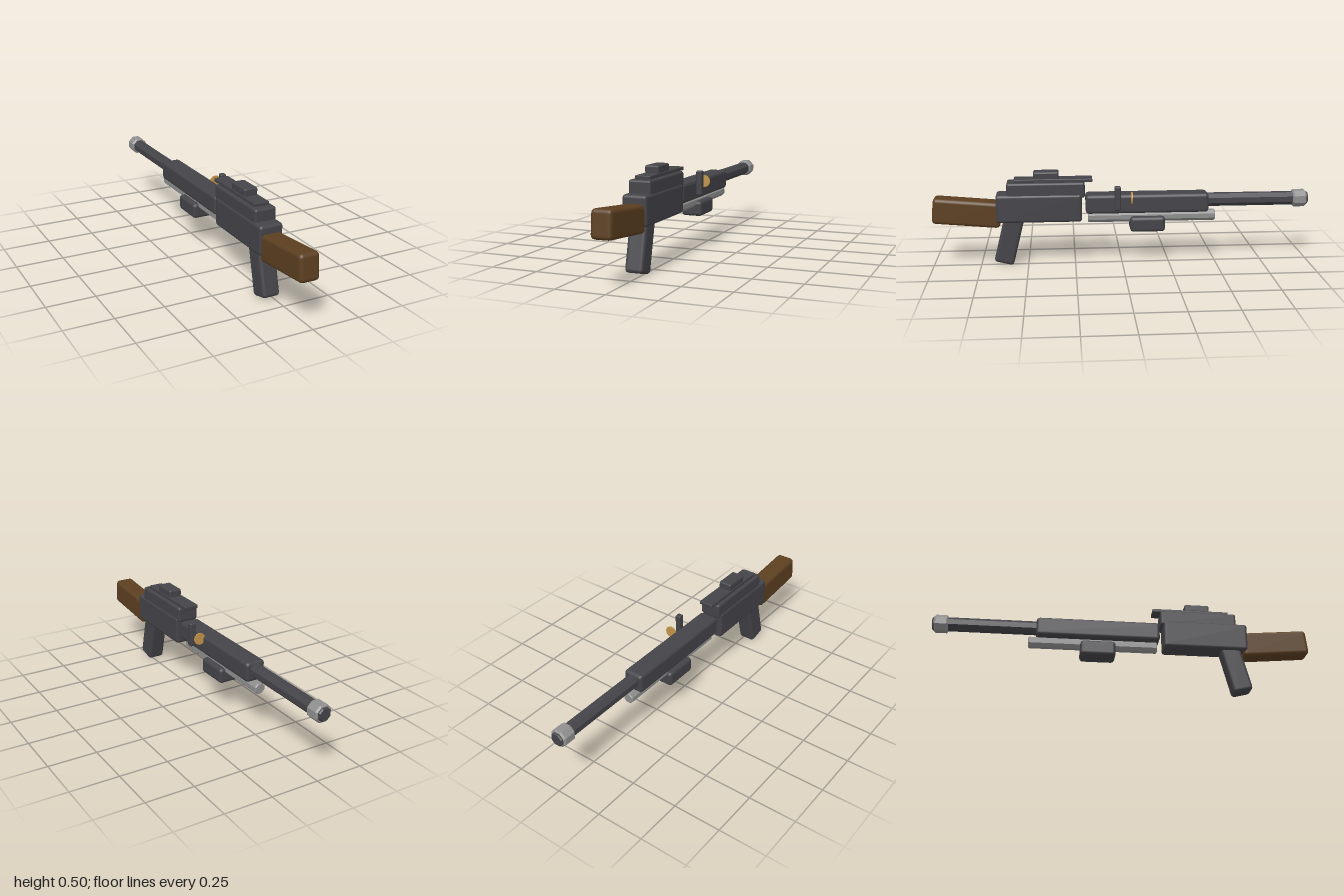
import * as THREE from 'three';
import { RoundedBoxGeometry } from 'three/addons/geometries/RoundedBoxGeometry.js';
import { toCreasedNormals } from 'three/addons/utils/BufferGeometryUtils.js';

const AXIS_X = -0.022; // the long axis sits slightly off centre

export function createModel() {
  const root = new THREE.Group();
  root.name = 'rifle';

  const material = (name, color) => {
    const m = new THREE.MeshStandardMaterial({ color });
    m.name = name;
    return m;
  };
  const gunmetal = material('gunmetal', 0x444449);
  const wood = material('walnut', 0x5c3f20);
  const steel = material('steel', 0x8f8f90);
  const brass = material('brass', 0xc4934a);

  const add = (name, geometry, mat, x, y, z) => {
    const mesh = new THREE.Mesh(geometry, mat);
    mesh.name = name;
    mesh.position.set(x, y, z);
    root.add(mesh);
    return mesh;
  };

  // Bevelled block given by its extents: [x0, x1], [y0, y1], [z0, z1]
  const block = (name, mat, [x0, x1], [y0, y1], [z0, z1], bevel) =>
    add(name, new RoundedBoxGeometry(x1 - x0, y1 - y0, z1 - z0, 2, bevel), mat,
      (x0 + x1) / 2, (y0 + y1) / 2, (z0 + z1) / 2);

  // Chamfered faceted rod running along z, from the rear to the muzzle end
  const rod = (name, mat, radius, y, zRear, zFront, chamfer, sides = 8) => {
    const length = zRear - zFront;
    const r = radius / Math.cos(Math.PI / sides);
    const profile = [[0, 0], [r - chamfer, 0], [r, chamfer], [r, length - chamfer],
      [r - chamfer, length], [0, length]].map(([a, b]) => new THREE.Vector2(a, b));
    const geometry = new THREE.LatheGeometry(profile, sides, Math.PI / sides);
    geometry.rotateX(-Math.PI / 2);
    return add(name, toCreasedNormals(geometry, 0.4), mat, AXIS_X, y, zRear);
  };

  // Receiver and its top rail
  block('receiver', gunmetal, [-0.085, 0.041], [0.237, 0.387], [0.213, 0.663], 0.016);
  block('upperReceiver', gunmetal, [-0.079, 0.036], [0.366, 0.449], [0.197, 0.605], 0.012);
  block('topRail', gunmetal, [-0.061, 0.018], [0.447, 0.466], [0.157, 0.567], 0.004);
  block('rearSight', gunmetal, [-0.058, 0.015], [0.46, 0.503], [0.332, 0.465], 0.009);

  // Shoulder stock, slightly raised at the rear
  const stock = add('stock', new RoundedBoxGeometry(0.105, 0.137, 0.355, 2, 0.02), wood,
    AXIS_X, 0.29, 0.816);
  stock.rotation.x = -0.09;

  // Raked pistol grip
  const grip = add('pistolGrip', new RoundedBoxGeometry(0.094, 0.28, 0.105, 2, 0.018), gunmetal,
    AXIS_X, 0.146, 0.597);
  grip.rotation.x = -0.245;

  // Fore-end, under tube and forward block
  block('foreEnd', gunmetal, [-0.076, 0.031], [0.275, 0.378], [-0.46, 0.193], 0.018);
  rod('underTube', steel, 0.028, 0.25, 0.18, -0.5, 0.005);
  block('forwardGrip', gunmetal, [-0.08, 0.036], [0.173, 0.255], [-0.228, -0.042], 0.018);

  // Barrel and muzzle ring
  rod('barrel', gunmetal, 0.034, 0.334, -0.4, -1.0, 0.006);
  rod('muzzleRing', steel, 0.044, 0.334, -0.917, -0.99, 0.008);

  // Side lever and brass disc
  block('sideLever', gunmetal, [0.039, 0.071], [0.302, 0.431], [0.011, 0.043], 0.007);
  const disc = new THREE.CylinderGeometry(0.032, 0.032, 0.008, 12);
  disc.rotateX(Math.PI / 2);
  add('brassDisc', disc, brass, 0.052, 0.366, -0.048);

  return root;
}
